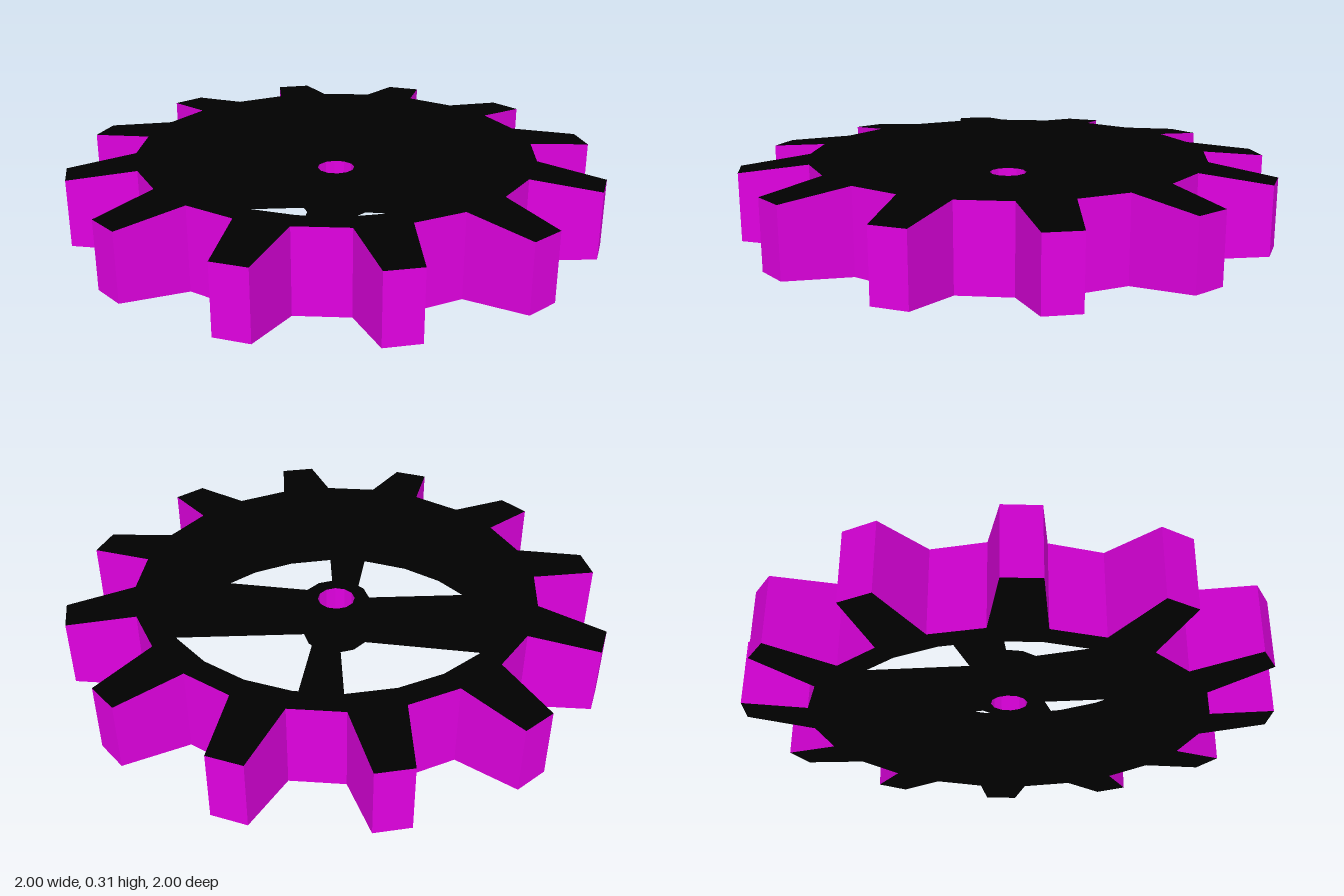
import * as THREE from 'three';

const H = 0.315, CROWN = 0.03;             // gear height, drop of the tooth tips
const LOW = 0.075, HIGH = 0.24;            // recessed level of hub and spokes
const R_IN = 0.66, R_ROOT = 0.75, R_TIP = 1;
const R_HUB = 0.125, R_BORE = 0.07;

// Point at a clockwise angle (degrees, seen from above), radius and height
function P(a, r, y) {
  const t = THREE.MathUtils.degToRad(a);
  return [r * Math.sin(t), y, -r * Math.cos(t)];
}

// Mesh from a list of convex polygons
function panels(name, polys, material) {
  const pos = [];
  for (const p of polys)
    for (let i = 1; i < p.length - 1; i++) pos.push(...p[0], ...p[i], ...p[i + 1]);
  const g = new THREE.BufferGeometry();
  g.setAttribute('position', new THREE.Float32BufferAttribute(pos, 3));
  g.computeVertexNormals();
  const mesh = new THREE.Mesh(g, material);
  mesh.name = name;
  return mesh;
}

// Upright walls facing out or in, and flat ring sectors facing up or down
const outward = (a0, a1, r, y0, y1) => [P(a1, r, y0), P(a0, r, y0), P(a0, r, y1), P(a1, r, y1)];
const inward = (a0, a1, r, y0, y1) => outward(a0, a1, r, y0, y1).reverse();
const up = (a0, a1, r0, r1, y) => [P(a0, r0, y), P(a1, r0, y), P(a1, r1, y), P(a0, r1, y)];
const down = (a0, a1, r0, r1, y) => up(a0, a1, r0, r1, y).reverse();

export function createModel() {
  const black = new THREE.MeshStandardMaterial({ color: 0x000000, flatShading: true, side: THREE.DoubleSide });
  const magenta = new THREE.MeshStandardMaterial({ color: 0xe000e0, flatShading: true, side: THREE.DoubleSide });
  const group = new THREE.Group();
  group.name = 'spokedGear';

  // Rim: flat top and bottom, with inner bands above and below the spokes
  const rim = [];
  for (let a = 0; a < 360; a += 15) {
    rim.push(up(a, a + 15, R_IN, R_ROOT, H), down(a, a + 15, R_IN, R_ROOT, 0));
    rim.push(inward(a, a + 15, R_IN, 0, LOW), inward(a, a + 15, R_IN, HIGH, H));
  }
  group.add(panels('rim', rim, black));

  // Teeth: sloping top and bottom faces, and the coloured outer band
  const faces = [], band = [];
  for (let a = 0; a < 360; a += 30) {
    const section = [[a, R_ROOT], [a + 3.75, R_TIP], [a + 11.25, R_TIP], [a + 15, R_ROOT], [a + 30, R_ROOT]];
    const top = section.map(([t, r]) => P(t, r, r === R_TIP ? H - CROWN : H));
    const bottom = section.map(([t, r]) => P(t, r, r === R_TIP ? CROWN : 0));
    faces.push([top[0], top[3], top[2], top[1]], bottom.slice(0, 4));
    for (let i = 0; i < 4; i++) band.push([bottom[i + 1], bottom[i], top[i], top[i + 1]]);
  }
  group.add(panels('toothFaces', faces, black));
  group.add(panels('toothBand', band, magenta));

  // Inner webs: fans folded across the rim between neighbouring spokes
  const webs = [];
  [[0, 2, 5], [0, 5], [0, 4, 5], [0, 4, 5]].forEach((stops, q) => {
    const angle = (i) => 30 + 90 * q + 15 * i;
    for (let s = 0; s < stops.length - 1; s++) {
      const first = P(angle(stops[s]), R_IN, LOW), last = P(angle(stops[s + 1]), R_IN, HIGH);
      for (let i = stops[s]; i < stops[s + 1]; i++) {
        webs.push([first, P(angle(i + 1), R_IN, HIGH), P(angle(i), R_IN, HIGH)]);
        webs.push([P(angle(i), R_IN, LOW), P(angle(i + 1), R_IN, LOW), last]);
      }
    }
  });
  group.add(panels('innerWebs', webs, black));

  // Hub: twelve-sided collar with a coloured bore
  const hub = [], bore = [];
  for (let a = 15; a < 375; a += 30) {
    hub.push(up(a, a + 30, R_BORE, R_HUB, HIGH), down(a, a + 30, R_BORE, R_HUB, LOW));
    hub.push(outward(a, a + 30, R_HUB, LOW, HIGH));
    bore.push(inward(a, a + 30, R_BORE, LOW, HIGH));
  }
  group.add(panels('hub', hub, black));
  group.add(panels('bore', bore, magenta));

  // Four spokes widening from the hub to the rim
  for (let q = 0; q < 4; q++) {
    const plan = [[15, R_HUB], [45, R_HUB], [30, R_IN], [15, R_IN]];
    const [t, b] = [HIGH, LOW].map((y) => plan.map(([a, r]) => P(a + 90 * q, r, y)));
    const sides = [0, 1, 2, 3].map((i) => {
      const j = (i + 1) % 4;
      return [b[i], b[j], t[j], t[i]];
    });
    group.add(panels('spoke', [t, b.slice().reverse(), ...sides], black));
  }
  return group;
}
